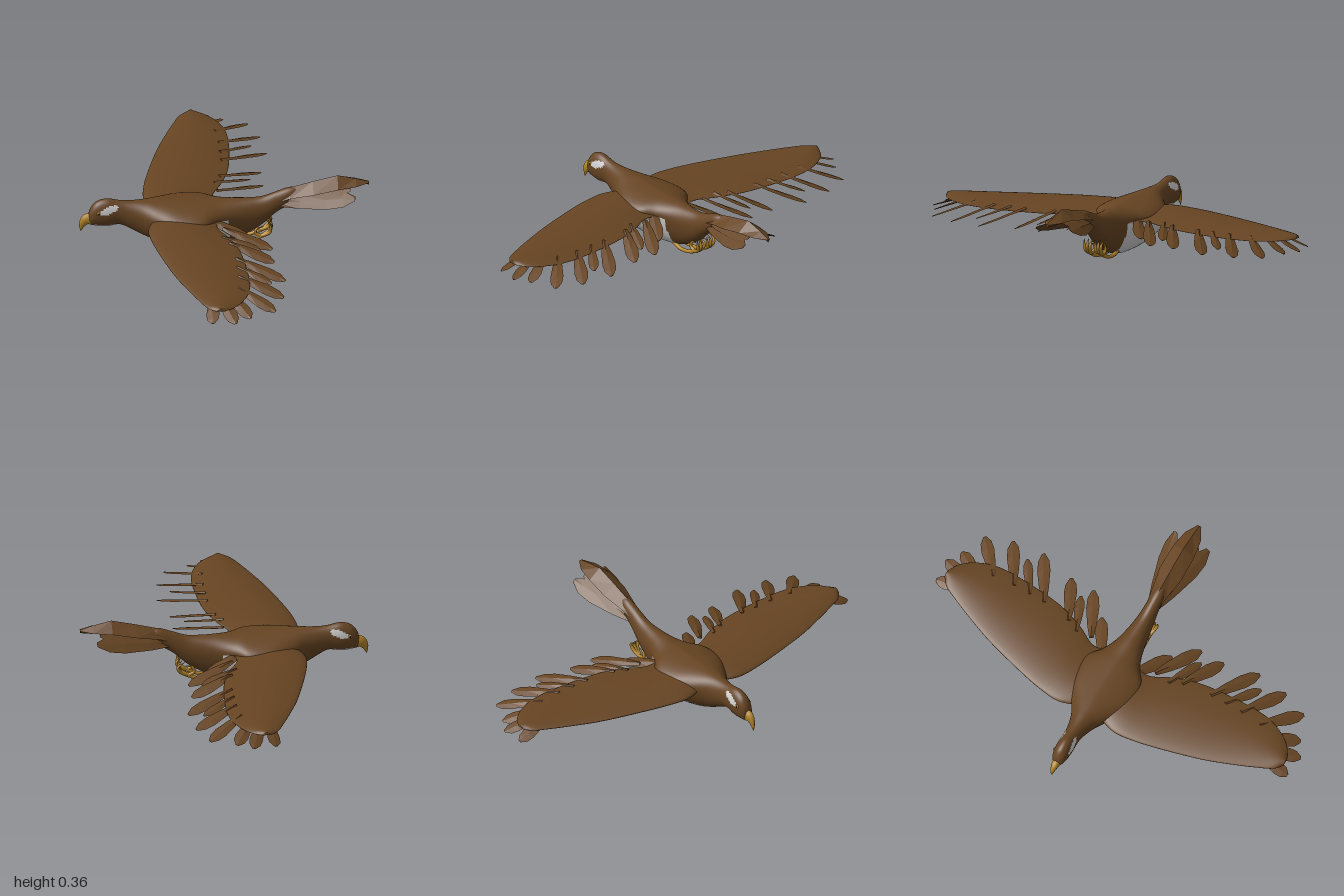
import * as THREE from 'three';

const V = (x, y, z) => new THREE.Vector3(x, y, z);
const paint = (name, color) => Object.assign(new THREE.MeshStandardMaterial({ color }), { name });

// Skin closed rings into a solid; pick(centre) gives the material index of each face
function loft(rings, pick = () => 0, flat = false) {
  const n = rings[0].length, buckets = [[], []];
  const pts = rings.flat();
  let volume = 0;
  const add = (a, b, c) => {
    volume += pts[a].dot(V(0, 0, 0).crossVectors(pts[b], pts[c]));
    return [a, b, c];
  };
  for (let i = 0; i < rings.length - 1; i++) for (let j = 0; j < n; j++) {
    const a = i * n + j, b = i * n + (j + 1) % n, c = a + n, d = b + n;
    const centre = V(0, 0, 0).add(pts[a]).add(pts[b]).add(pts[c]).add(pts[d]).multiplyScalar(0.25);
    buckets[pick(centre)].push(add(a, b, c), add(b, d, c));
  }
  const last = (rings.length - 1) * n;
  for (let j = 1; j < n - 1; j++) {
    buckets[0].push(add(0, j + 1, j), add(last, last + j, last + j + 1));
  }
  // Turn all faces outward
  if (volume < 0) buckets.forEach(list => list.forEach(t => t.reverse()));
  let geo = new THREE.BufferGeometry().setFromPoints(pts);
  geo.setIndex(buckets.flat(2));
  geo.addGroup(0, buckets[0].length * 3, 0);
  geo.addGroup(buckets[0].length * 3, buckets[1].length * 3, 1);
  if (flat) geo = geo.toNonIndexed();
  geo.computeVertexNormals();
  return geo;
}

// Smooth sampling of a table of stations, three columns at a time
function sample(table, count) {
  const curve = from => new THREE.CatmullRomCurve3(
    table.map(r => V(r[from], r[from + 1] ?? 0, r[from + 2] ?? 0)), false, 'catmullrom', 0.5);
  const a = curve(0), b = curve(3);
  return Array.from({ length: count + 1 }, (_, i) =>
    [...a.getPoint(i / count).toArray(), ...b.getPoint(i / count).toArray()]);
}

// Tapered tube along a path, flattened sideways by squash
function taper(path, radii, squash = 1, sides = 10) {
  const curve = new THREE.CatmullRomCurve3(path), steps = 14;
  return loft(Array.from({ length: steps + 1 }, (_, i) => {
    const t = i / steps, p = curve.getPoint(t), dir = curve.getTangent(t);
    const up = V(0, 0, 1).cross(dir).normalize(), side = dir.clone().cross(up);
    const k = t * (radii.length - 1), q = Math.min(Math.floor(k), radii.length - 2);
    const r = radii[q] + (radii[q + 1] - radii[q]) * (k - q);
    return Array.from({ length: sides }, (_, j) => {
      const a = j / sides * Math.PI * 2;
      return p.clone().addScaledVector(up, r * Math.cos(a)).addScaledVector(side, r * squash * Math.sin(a));
    });
  }));
}

// Thin blade from base to tip with a raised quill, rolled about its length
function feather(base, tip, width, roll = 0) {
  const dir = tip.clone().sub(base).normalize();
  const side = dir.clone().cross(V(0, 1, 0)).normalize().applyAxisAngle(dir, roll);
  const up = side.clone().cross(dir);
  const form = [[0, 0.35], [0.3, 0.75], [0.65, 1], [0.85, 0.85], [1, 0.25]];
  return loft(form.map(([t, w]) => {
    const p = base.clone().lerp(tip, t), h = 0.009 * (1 - t * 0.7);
    return [[w * width, 0], [0, h], [-w * width, 0], [0, -h / 2]].map(([s, u]) =>
      p.clone().addScaledVector(side, s).addScaledVector(up, u));
  }), undefined, true);
}

export function createModel() {
  const bird = new THREE.Group();
  bird.name = 'flyingBird';
  const brown = paint('brown plumage', 0x664422), white = paint('pale plumage', 0xd2d2d2);
  const gold = paint('golden horn', 0xb5862c), dark = paint('dark pupil', 0x1a140c);
  const add = (name, geo, mat, parent = bird) => {
    const mesh = new THREE.Mesh(geo, mat);
    mesh.name = name;
    parent.add(mesh);
    return mesh;
  };

  // Head and body: x, top, bottom, height of widest line, half width, sharpness
  const stations = [
    [-0.662, 0.195, 0.165, 0.18, 0.006, 1], [-0.65, 0.23, 0.142, 0.185, 0.026, 1],
    [-0.62, 0.264, 0.134, 0.2, 0.037, 1], [-0.57, 0.278, 0.13, 0.2, 0.041, 1],
    [-0.51, 0.266, 0.138, 0.2, 0.04, 1], [-0.46, 0.261, 0.115, 0.19, 0.048, 1],
    [-0.4, 0.261, 0.08, 0.18, 0.068, 1], [-0.33, 0.261, 0.045, 0.18, 0.11, 1.2],
    [-0.25, 0.259, 0.02, 0.185, 0.15, 1.4], [-0.17, 0.256, 0.007, 0.188, 0.162, 1.5],
    [-0.1, 0.253, 0.004, 0.188, 0.15, 1.5], [-0.04, 0.25, 0.01, 0.185, 0.105, 1.3],
    [0.03, 0.25, 0.026, 0.175, 0.075, 1.1], [0.1, 0.25, 0.055, 0.17, 0.058, 1],
    [0.18, 0.256, 0.105, 0.18, 0.045, 1], [0.25, 0.28, 0.17, 0.22, 0.036, 1],
    [0.32, 0.303, 0.215, 0.26, 0.03, 1], [0.38, 0.3, 0.27, 0.285, 0.01, 1]];
  const bodyRings = sample(stations, 130).map(([x, top, bottom, mid, w, p]) =>
    Array.from({ length: 56 }, (_, j) => {
      const a = j / 56 * Math.PI * 2, c = Math.cos(a), s = Math.sin(a);
      return V(x, mid + c * (c > 0 ? top - mid : mid - bottom), w * Math.sign(s) * Math.abs(s) ** p);
    }));
  const palePatch = ({ x, y }) => {
    const belly = x < 0.035 - y * 0.15 && y < 0.178 && (x > -0.28 || (y < 0.082 && x > -0.43));
    const cheek = ((x + 0.562) / 0.045) ** 2 + ((y - 0.232 - (x + 0.562) * 0.3) / 0.019) ** 2 < 1;
    const chin = x > -0.65 && x < -0.5 && y < 0.147;
    return belly || cheek || chin ? 1 : 0;
  };
  add('body', loft(bodyRings, palePatch), [brown, white]);

  // Hooked beak
  add('beak', taper([V(-0.635, 0.172, 0), V(-0.668, 0.168, 0), V(-0.689, 0.143, 0), V(-0.698, 0.106, 0)],
    [0.037, 0.031, 0.018, 0.002], 0.6), gold);

  // Tail: x, ridge height, edge height, half width
  const tail = [[0.24, 0.275, 0.235, 0.03], [0.32, 0.303, 0.262, 0.042], [0.43, 0.332, 0.288, 0.062],
    [0.55, 0.36, 0.312, 0.06], [0.64, 0.339, 0.316, 0.045], [0.703, 0.32, 0.317, 0.01]];
  add('centreTailFeather', loft(tail.map(([x, top, edge, w]) =>
    [V(x, top, 0), V(x, edge, w), V(x, top - 0.018, 0), V(x, edge, -w)]), undefined, true), brown);

  // Wing outline: z, leading x, trailing x, height, half thickness
  const wing = [[0.04, -0.34, -0.02, 0.185, 0.03], [0.15, -0.38, -0.045, 0.187, 0.028],
    [0.26, -0.373, 0.005, 0.19, 0.022], [0.4, -0.342, 0.05, 0.19, 0.02], [0.6, -0.285, 0.07, 0.188, 0.017],
    [0.75, -0.228, 0.067, 0.189, 0.014], [0.85, -0.185, 0.035, 0.19, 0.012],
    [0.92, -0.15, -0.015, 0.19, 0.009], [0.955, -0.11, -0.07, 0.19, 0.003]];
  const wingRows = sample(wing, 60);
  // Flight feathers: base x, z, tip x, z
  const quills = [[-0.09, 0.08, 0.11, 0.2], [-0.02, 0.18, 0.21, 0.305], [0, 0.32, 0.21, 0.43],
    [0.02, 0.47, 0.25, 0.61], [0.02, 0.64, 0.23, 0.77], [0.01, 0.75, 0.18, 0.9],
    [-0.03, 0.81, 0.055, 0.955], [-0.08, 0.83, -0.02, 1], [-0.12, 0.83, -0.13, 0.99],
    [-0.03, 0.26, 0.15, 0.34], [0.02, 0.55, 0.18, 0.66]];

  for (const s of [1, -1]) {
    const label = s > 0 ? 'left' : 'right';
    const side = new THREE.Group();
    side.name = label + 'Wing';
    bird.add(side);

    const rings = wingRows.map(([z, lead, trail, y, h]) => Array.from({ length: 48 }, (_, j) => {
      const a = j / 48 * Math.PI * 2, u = (1 - Math.cos(a)) / 2;
      const camber = 0.012 * Math.sin(u * Math.PI) - 0.006;
      return V(lead + (trail - lead) * u, y + camber + h * Math.sin(a) * (1 - 0.6 * u), z * s);
    }));
    // Pale panel under the wing
    const underside = p => {
      const z = Math.abs(p.z);
      const row = wingRows.find(r => r[0] >= z) ?? wingRows.at(-1);
      const u = (p.x - row[1]) / (row[2] - row[1]);
      const mid = row[3] + 0.012 * Math.sin(u * Math.PI) - 0.006;
      return p.y < mid && z > 0.1 && z < 0.84 && u > 0.26 && u < 0.88 ? 1 : 0;
    };
    add('wingPanel', loft(rings, underside), [brown, white], side);
    quills.forEach(([bx, bz, tx, tz], i) => add('flightFeather',
      feather(V(bx, 0.192, bz * s), V(tx, i > 8 ? 0.155 : 0.138, tz * s), i > 8 ? 0.025 : 0.033, 0.25 * s), brown, side));

    // Outer tail feathers, sloping down like a roof
    add('outerTailFeather', feather(V(0.25, 0.225, 0.012 * s), V(0.63, 0.28, 0.093 * s), 0.05, 0.65 * s), brown);
    add('innerTailFeather', feather(V(0.26, 0.245, 0.01 * s), V(0.61, 0.303, 0.045 * s), 0.04, 0.45 * s), brown);

    // Eyes
    const iris = add(label + 'Eye', new THREE.SphereGeometry(0.011, 16, 10), gold);
    iris.position.set(-0.612, 0.215, 0.034 * s);
    iris.scale.z = 0.6;
    const pupil = add(label + 'Pupil', new THREE.SphereGeometry(0.006, 12, 8), dark);
    pupil.position.set(-0.613, 0.215, 0.039 * s);
    pupil.scale.z = 0.6;

    // Legs tucked back with curled toes
    const z = 0.03 * s;
    add(label + 'Leg', taper([V(0.01, 0.035, z * 0.7), V(0.07, 0.026, z), V(0.13, 0.034, z), V(0.185, 0.058, z)],
      [0.012, 0.009, 0.009, 0.011]), gold);
    for (const k of [-1, 0, 1]) {
      add(label + 'Toe', taper([V(0.18, 0.055, z), V(0.218, 0.08, z + k * 0.012),
        V(0.226 - k * 0.004, 0.108, z + k * 0.018), V(0.208 + k * 0.012, 0.135, z + k * 0.018)],
      [0.01, 0.009, 0.007, 0.001]), gold);
    }
    add(label + 'BackToe', taper([V(0.18, 0.055, z), V(0.15, 0.07, z), V(0.155, 0.095, z), V(0.19, 0.105, z)],
      [0.009, 0.008, 0.006, 0.001]), gold);
  }
  return bird;
}
